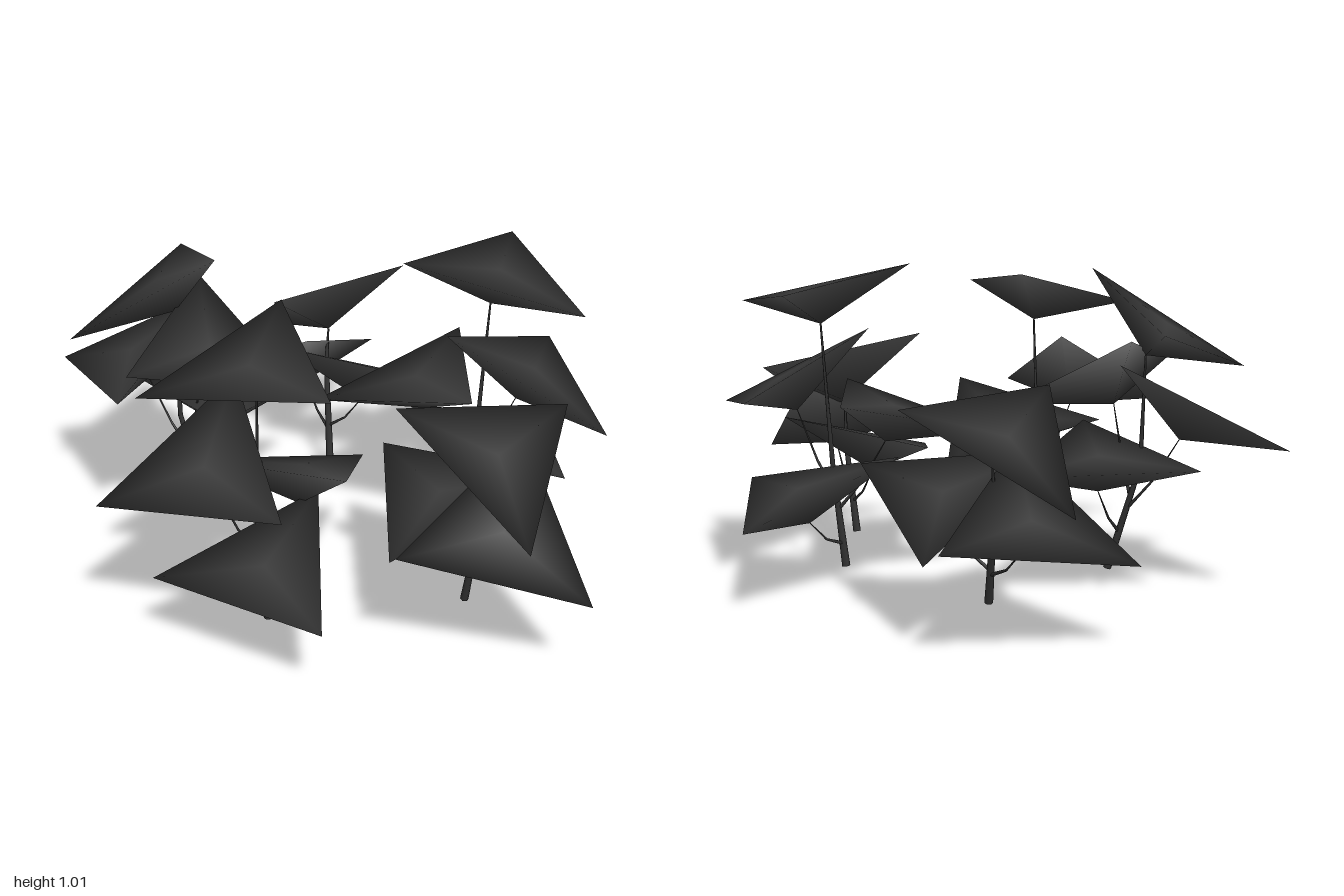
import * as THREE from 'three';
import { mergeVertices } from 'three/addons/utils/BufferGeometryUtils.js';

const LEAF_RADIUS = 0.326;
const LEAF_DEPTH = 0.118;
const leafMaterial = new THREE.MeshStandardMaterial({ color: 0x3c3c3c });
const woodMaterial = new THREE.MeshStandardMaterial({ color: 0x303030 });

// Every leaf is the same shallow three-sided pyramid, tip pointing down, softly shaded
function makeLeafGeometry() {
  const cone = new THREE.ConeGeometry(LEAF_RADIUS, LEAF_DEPTH, 3).translate(0, LEAF_DEPTH / 2, 0);
  cone.deleteAttribute('normal');
  cone.deleteAttribute('uv');
  const leaf = mergeVertices(cone);
  leaf.computeVertexNormals();
  return leaf;
}
const leafGeometry = makeLeafGeometry();

// Trunk: foot and knee points.
// Leaf: centre x, y, z, slope along x, slope along z, heading of one corner in degrees.
// The last leaf of a tree sits on top of its trunk.
const TREES = [
  { name: 'frontTree', foot: [0.01, 0, 0.5], knee: [-0.01, 0.3, 0.52], leaves: [
    [0.095, 0.305, 0.66, -0.01, -0.32, -88],
    [-0.085, 0.595, 0.68, -0.01, -0.56, -102],
    [0.045, 0.47, 0.345, 0.14, 0.36, -80],
    [0.02, 0.9, 0.59, 0.07, -0.22, -103]] },
  { name: 'leftTree', foot: [-0.42, 0.06, 0.13], knee: [-0.525, 0.4, 0.13], leaves: [
    [-0.435, 0.445, 0.005, 0.07, 0.16, -60],
    [-0.7, 0.6, 0.14, 0.41, -0.32, -172],
    [-0.38, 0.69, 0.16, -0.46, -0.15, -128],
    [-0.61, 0.85, 0.11, 0.6, -0.19, -108]] },
  { name: 'backLeftTree', foot: [-0.25, 0.06, -0.39], knee: [-0.31, 0.38, -0.48], leaves: [
    [-0.145, 0.4, -0.48, 0, 0.53, -106],
    [-0.46, 0.365, -0.56, 0.43, 0.39, 170],
    [-0.38, 0.59, -0.54, 0.65, 0.31, -41.5]] },
  { name: 'backRightTree', foot: [0.335, 0.06, -0.21], knee: [0.375, 0.37, -0.215], leaves: [
    [0.41, 0.335, -0.37, -0.22, 0.24, -91],
    [0.185, 0.58, -0.155, 0.24, -0.12, 152],
    [0.555, 0.655, -0.235, -0.48, 0.22, -103],
    [0.415, 0.95, -0.26, -0.22, 0.06, -106]] },
  { name: 'rightTree', foot: [0.535, 0.06, 0.21], knee: [0.585, 0.36, 0.23], leaves: [
    [0.435, 0.405, 0.195, 0.11, -0.24, 92],
    [0.715, 0.44, 0.37, -0.44, -0.58, 7],
    [0.64, 0.61, 0.25, -0.6, -0.31, -74]] },
];

// Lays a leaf in its sloped plane and returns it with its lower tip
function makeLeaf([x, y, z, slopeX, slopeZ, degrees]) {
  const a = THREE.MathUtils.degToRad(degrees);
  const down = new THREE.Vector3(slopeX, -1, slopeZ).normalize();
  const corner = new THREE.Vector3(
    Math.cos(a), slopeX * Math.cos(a) + slopeZ * Math.sin(a), Math.sin(a)).normalize();
  const side = down.clone().cross(corner);
  const mesh = new THREE.Mesh(leafGeometry, leafMaterial);
  mesh.name = 'leafPyramid';
  mesh.position.set(x, y, z);
  mesh.quaternion.setFromRotationMatrix(new THREE.Matrix4().makeBasis(side, down, corner));
  return { mesh, tip: mesh.position.clone().addScaledVector(down, LEAF_DEPTH) };
}

// Chain of tapered segments through the points
function makeLimb(name, points, r0, r1) {
  const limb = new THREE.Group();
  limb.name = name;
  const n = points.length - 1;
  const radius = (k) => THREE.MathUtils.lerp(r0, r1, k / n);
  for (let i = 0; i < n; i++) {
    const dir = points[i + 1].clone().sub(points[i]);
    const segment = new THREE.Mesh(
      new THREE.CylinderGeometry(radius(i + 1), radius(i), dir.length(), 6), woodMaterial);
    segment.name = name + 'Segment';
    segment.position.copy(points[i]).addScaledVector(dir, 0.5);
    segment.quaternion.setFromUnitVectors(new THREE.Vector3(0, 1, 0), dir.normalize());
    limb.add(segment);
  }
  return limb;
}

function makeTree({ name, foot, knee, leaves }) {
  const tree = new THREE.Group();
  tree.name = name;
  const built = leaves.map(makeLeaf);
  built.forEach(({ mesh }) => tree.add(mesh));

  // Trunk leans up to the knee, then thins out towards the top leaf
  const low = new THREE.Vector3(...foot);
  const mid = new THREE.Vector3(...knee);
  const top = built.pop().tip;
  tree.add(makeLimb('trunk', [low, mid, top], 0.013, 0.003));

  // Branches fork off the lower trunk and bend upward to their leaf
  built.forEach(({ tip }) => {
    const rise = 0.45 * (tip.y - low.y) / (mid.y - low.y);
    const fork = low.clone().lerp(mid, Math.min(rise, 1));
    const elbow = fork.clone().lerp(tip, 0.5);
    elbow.y -= 0.02;
    tree.add(makeLimb('branch', [fork, elbow, tip], 0.006, 0.0015));
  });
  return tree;
}

export function createModel() {
  const group = new THREE.Group();
  group.name = 'treeGrove';
  TREES.forEach((spec) => group.add(makeTree(spec)));
  return group;
}
